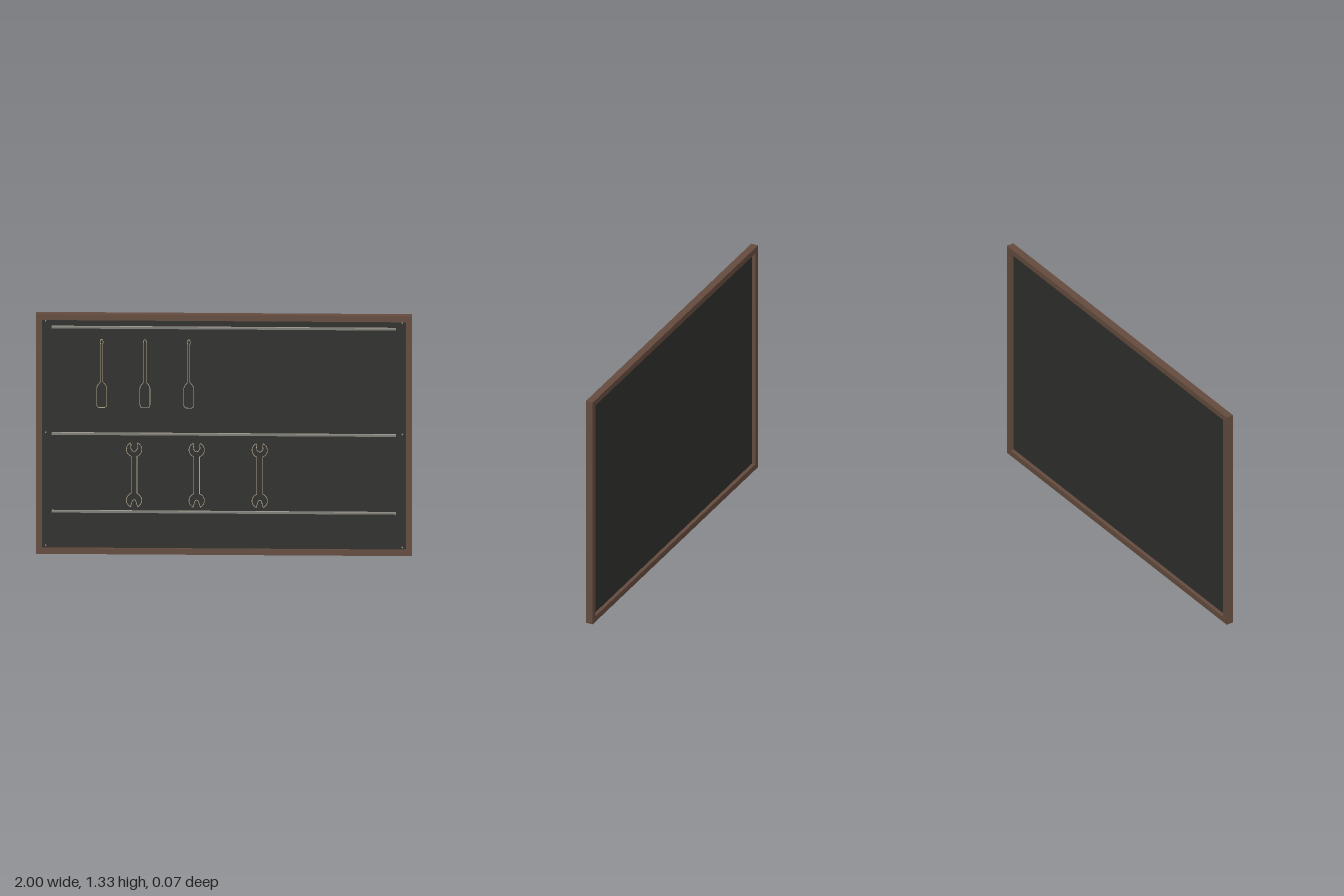
import * as THREE from 'three';

const mat = (color) => new THREE.MeshStandardMaterial({ color });

export function createModel() {
  const board = new THREE.Group();
  board.name = 'toolBoard';
  const wood = mat(0x664d3f), dark = mat(0x30302e), metal = mat(0x99978f), paint = mat(0xb5a78c);
  paint.side = THREE.DoubleSide;

  const H = 1.332, BAR = 0.033, BACK = -0.033, FRONT = 0.008;
  const FACE = -0.003; // front face of the panel

  function add(geometry, material, name, x = 0, y = 0, z = 0) {
    const mesh = new THREE.Mesh(geometry, material);
    mesh.name = name;
    mesh.position.set(x, y, z);
    board.add(mesh);
    return mesh;
  }

  // Wooden frame: full-width top and bottom bars, side bars between them
  const depth = FRONT - BACK, midZ = (FRONT + BACK) / 2;
  add(new THREE.BoxGeometry(2, BAR, depth), wood, 'bottomBar', 0, BAR / 2, midZ);
  add(new THREE.BoxGeometry(2, BAR, depth), wood, 'topBar', 0, H - BAR / 2, midZ);
  for (const s of [-1, 1]) {
    add(new THREE.BoxGeometry(BAR, H - 2 * BAR, depth), wood, s > 0 ? 'leftBar' : 'rightBar',
      s * (1 - BAR / 2), H / 2, midZ);
  }

  // Dark backing panel, recessed in the frame
  add(new THREE.BoxGeometry(2 - 2 * BAR, H - 2 * BAR, 0.01), dark, 'panel', 0, H / 2, FACE - 0.005);

  // Panel screws along both sides
  for (const x of [-0.948, 0.948]) {
    for (const y of [0.045, 0.673, 1.292]) {
      add(new THREE.CylinderGeometry(0.004, 0.004, 0.003, 10).rotateX(Math.PI / 2), metal,
        'panelScrew', x, y, FACE + 0.001);
    }
  }

  // Narrow metal rails: a thin ledge with an upturned lip, extruded along x
  const ledge = [[FACE, 0], [0.029, 0], [0.033, 0.013], [0.03, 0.013], [0.026, 0.006], [FACE, 0.006]];
  const railShape = new THREE.Shape(ledge.map(([z, y]) => new THREE.Vector2(-z, y)));
  for (const y of [0.236, 0.668, 1.259]) {
    const rail = new THREE.ExtrudeGeometry(railShape, { depth: 1.83, bevelEnabled: false });
    rail.rotateY(Math.PI / 2);
    add(rail, metal, 'rail', -0.915, y, 0);
    // Evenly spaced pegs on the ledge
    for (let i = 0; i < 10; i++) {
      add(new THREE.BoxGeometry(0.002, 0.004, 0.02), metal, 'railPeg', (i - 4.5) * 0.183, y + 0.006, 0.014);
    }
  }

  // Closed flat line of constant width following a list of points
  function outline(points, width = 0.0035) {
    const n = points.length, pos = [], index = [];
    points.forEach((p, i) => {
      const a = points[(i + n - 1) % n], b = points[(i + 1) % n];
      const d1 = p.clone().sub(a).normalize(), d2 = b.clone().sub(p).normalize();
      const t = d1.clone().add(d2).normalize();
      const k = width / 2 / Math.max(0.5, t.dot(d2));
      pos.push(p.x - t.y * k, p.y + t.x * k, 0, p.x + t.y * k, p.y - t.x * k, 0);
      const j = 2 * i, m = 2 * ((i + 1) % n);
      index.push(j, j + 1, m + 1, j, m + 1, m);
    });
    const g = new THREE.BufferGeometry();
    g.setAttribute('position', new THREE.Float32BufferAttribute(pos, 3));
    g.setIndex(index);
    g.computeVertexNormals();
    return g;
  }

  // Right half of a silhouette, bottom to top, mirrored into a closed loop
  function mirrored(half) {
    const right = half.map(([x, y]) => new THREE.Vector2(x, y));
    const left = half.filter(([x]) => x > 0).reverse().map(([x, y]) => new THREE.Vector2(-x, y));
    return right.concat(left);
  }

  // Screwdriver outlines: rounded handle below, slim shaft above
  const driver = mirrored([
    [0.016, 0.812], [0.024, 0.818], [0.027, 0.83], [0.027, 0.92], [0.022, 0.935],
    [0.012, 0.948], [0.006, 0.955], [0.006, 1.165], [0.008, 1.178], [0.004, 1.19],
  ]);
  for (const x of [-0.65, -0.42, -0.187]) {
    add(outline(driver), paint, 'screwdriverOutline', x, 0, FACE + 0.001);
  }

  // Wrench outlines: two open-ended heads joined by a straight handle
  const R = 0.041, low = 0.298, high = 0.58;
  const arc = (cy, from, to) => Array.from({ length: 11 }, (_, i) => {
    const a = THREE.MathUtils.degToRad(from + (to - from) * i / 10);
    return [R * Math.cos(a), cy + R * Math.sin(a)];
  });
  const wrench = mirrored([
    [0, low + 0.004], [0.008, low], [0.018, low - 0.032],
    ...arc(low, -62, 68), ...arc(high, -68, 62),
    [0.016, high + 0.028], [0.018, high + 0.006], [0.009, high - 0.008], [0, high - 0.01],
  ]);
  for (const x of [-0.478, -0.145, 0.19]) {
    add(outline(wrench), paint, 'wrenchOutline', x, 0, FACE + 0.001);
  }

  return board;
}
